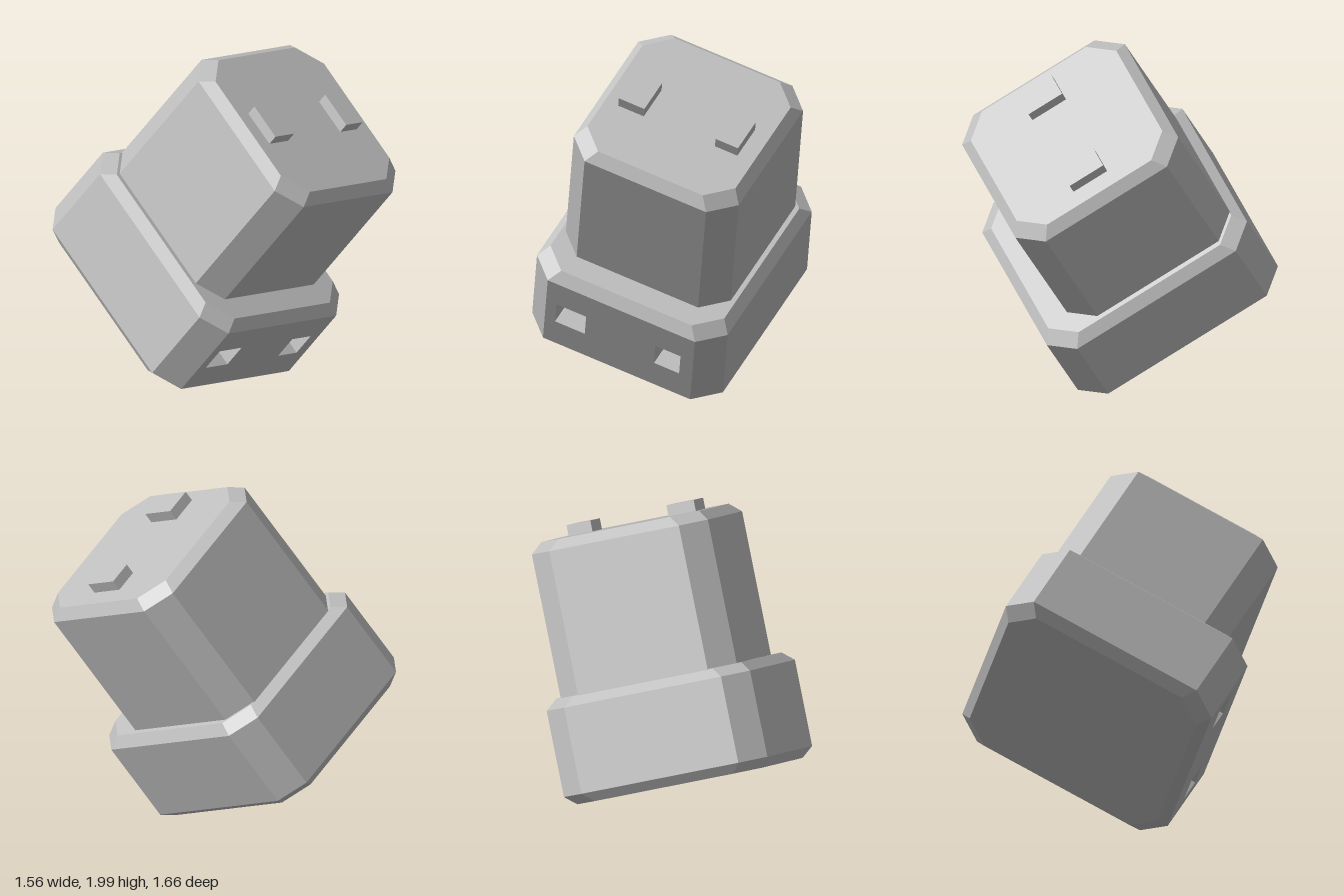
import * as THREE from 'three';

const CX = -0.262; // shared centre line of both blocks

export function createModel() {
  const grey = new THREE.MeshStandardMaterial({ color: 0xbfbfbf });
  grey.name = 'plain grey';

  const model = new THREE.Group();
  model.name = 'tiltedStackedBlock';
  // the whole piece leans forward and to its left
  model.rotation.set(Math.PI / 6, 0, THREE.MathUtils.degToRad(-17), 'ZYX');

  function add(name, geometry, x = 0, y = 0, z = 0) {
    const mesh = new THREE.Mesh(geometry, grey);
    mesh.name = name;
    mesh.position.set(x, y, z);
    model.add(mesh);
    return mesh;
  }

  // rectangle with cut corners, listed from the front left, anticlockwise from above
  function ring(y, hx, hz, c = 0.137) {
    const fx = hx - c, fz = hz - c;
    return [[-fx, hz], [fx, hz], [hx, fz], [hx, -fz], [fx, -hz], [-fx, -hz], [-hx, -fz], [-hx, fz]]
      .map(([x, z]) => [x, y, z]);
  }

  // flat-faced solid through a stack of rings; skip(level, side) leaves a face open
  function loft(rings, skip = () => false) {
    const p = [];
    for (let k = 0; k < rings.length - 1; k++) {
      const a = rings[k], b = rings[k + 1];
      for (let i = 0; i < 8; i++) {
        if (skip(k, i)) continue;
        const j = (i + 1) % 8;
        p.push(...a[i], ...a[j], ...b[j], ...a[i], ...b[j], ...b[i]);
      }
    }
    const bottom = rings[0], top = rings[rings.length - 1];
    for (let i = 1; i < 7; i++) {
      p.push(...top[0], ...top[i], ...top[i + 1]);
      p.push(...bottom[0], ...bottom[i + 1], ...bottom[i]);
    }
    const g = new THREE.BufferGeometry();
    g.setAttribute('position', new THREE.Float32BufferAttribute(p, 3));
    g.computeVertexNormals();
    return g;
  }

  // lower block, bevelled at both ends, front face left open for the slotted panel
  const lowZ = -0.425;
  add('lowerBlock', loft([
    ring(0.163, 0.547, 0.603), ring(0.218, 0.6, 0.66),
    ring(0.711, 0.6, 0.66), ring(0.766, 0.547, 0.603),
  ], (level, side) => level === 1 && side === 0), CX, 0, lowZ);

  // upper block, bevelled at the top and sunk slightly into the lower one
  add('upperBlock', loft([
    ring(0.75, 0.519, 0.537), ring(1.587, 0.519, 0.537), ring(1.644, 0.466, 0.48),
  ]), CX, 0, -0.495);

  // front panel with two slots, the one on the model's right being wider
  const slots = [['rightSlot', -0.66, -0.473], ['leftSlot', -0.037, 0.121]];
  const s0 = 0.395, s1 = 0.542, depth = 0.13, frontZ = lowZ + 0.66;
  const rect = (P, x0, y0, x1, y1) => {
    const s = new P();
    s.moveTo(x0, y0).lineTo(x1, y0).lineTo(x1, y1).lineTo(x0, y1).closePath();
    return s;
  };
  const panel = rect(THREE.Shape, CX - 0.463, 0.218, CX + 0.463, 0.711);
  for (const [name, x0, x1] of slots) {
    panel.holes.push(rect(THREE.Path, x0, s0, x1, s1));
    // inward-facing pocket without its front wall
    const pocket = new THREE.BoxGeometry(x1 - x0, s1 - s0, depth);
    pocket.scale(-1, 1, 1);
    const idx = Array.from(pocket.index.array);
    idx.splice(24, 6);
    pocket.setIndex(idx);
    pocket.clearGroups();
    pocket.computeVertexNormals();
    add(name, pocket, (x0 + x1) / 2, (s0 + s1) / 2, frontZ - depth / 2);
  }
  add('frontPanel', new THREE.ShapeGeometry(panel), 0, 0, frontZ);

  // two low pegs on the top, matching the slot widths
  for (const [name, x0, x1] of [['rightPeg', -0.646, -0.485], ['leftPeg', -0.037, 0.104]]) {
    add(name, new THREE.BoxGeometry(x1 - x0, 0.077, 0.221), (x0 + x1) / 2, 1.6685, -0.4835);
  }

  const root = new THREE.Group();
  root.name = 'model';
  root.add(model);
  return root;
}
